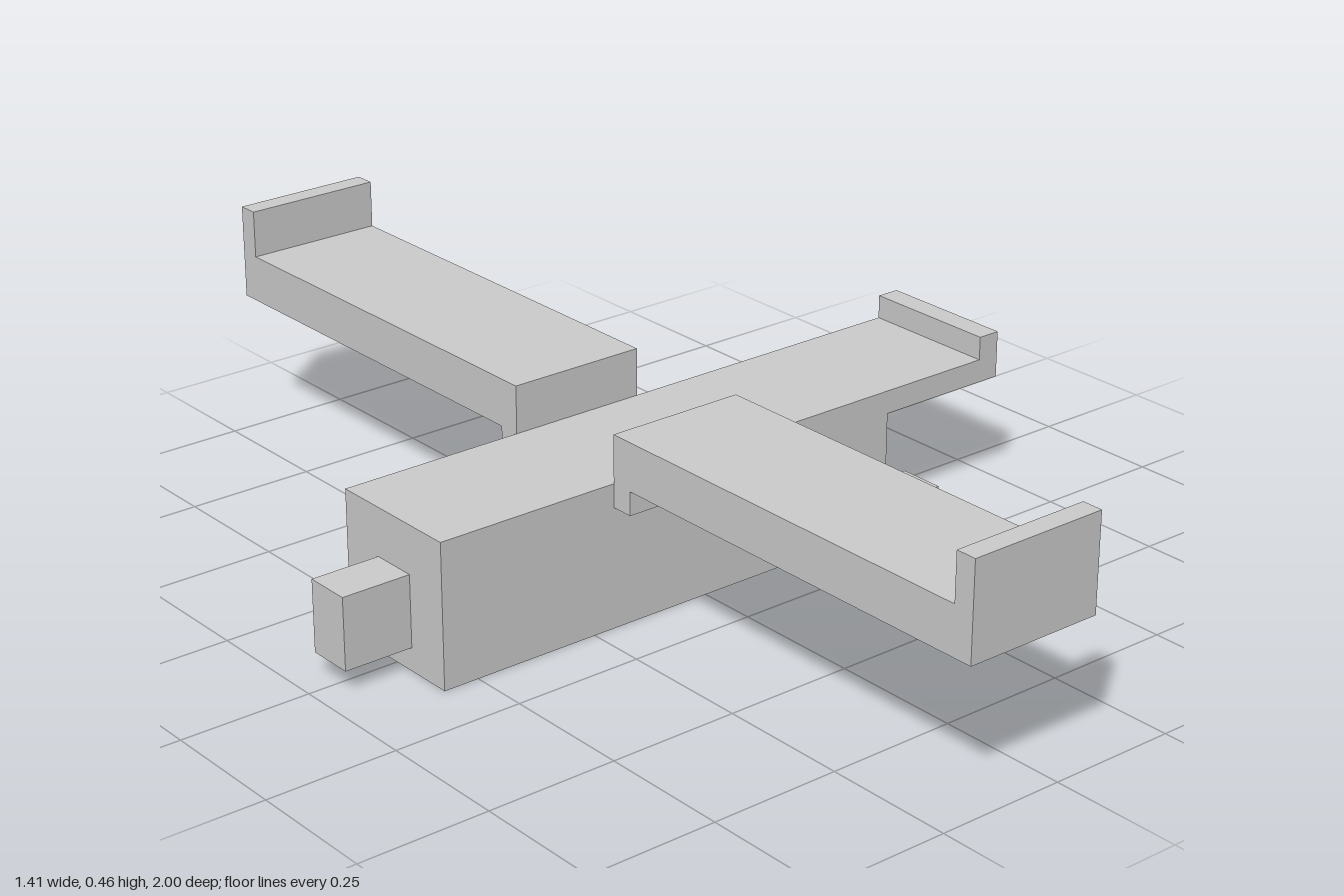
import * as THREE from 'three';

const material = new THREE.MeshStandardMaterial({ color: 0xcccccc, flatShading: true });

// Extrudes an outline, centred on its depth
function extrude(points, depth) {
  const shape = new THREE.Shape(points.map(([x, y]) => new THREE.Vector2(x, y)));
  return new THREE.ExtrudeGeometry(shape, { depth, bevelEnabled: false }).translate(0, 0, -depth / 2);
}

// Box given by its limits on each axis
function box(x0, x1, y0, y1, z0, z1) {
  return new THREE.BoxGeometry(x1 - x0, y1 - y0, z1 - z0)
    .translate((x0 + x1) / 2, (y0 + y1) / 2, (z0 + z1) / 2);
}

export function createModel() {
  const model = new THREE.Group();
  model.name = 'aircraft';
  const add = (name, geometry) => {
    const mesh = new THREE.Mesh(geometry, material);
    mesh.name = name;
    model.add(mesh);
    return mesh;
  };

  // Fuselage with overhanging deck and raised end lip, as one side profile
  add('fuselage', extrude([
    [-0.57, 0], [0.43, 0], [0.43, 0.23], [0.705, 0.23], [0.705, 0.32],
    [0.66, 0.32], [0.66, 0.275], [-0.57, 0.275],
  ], 0.273));

  // Square block on the opposite end
  add('endBlock', box(-0.705, -0.57, 0.045, 0.182, -0.045, 0.045));

  // Wing profile: root bracket, flat panel, upturned tip
  const wing = extrude([
    [0.136, 0.23], [0.18, 0.23], [0.18, 0.275], [1, 0.275], [1, 0.457],
    [0.96, 0.457], [0.96, 0.366], [0.136, 0.366],
  ], 0.272);

  // Mirrored pairs: wings and the low prongs under the deck
  for (const [side, s] of [['front', 1], ['back', -1]]) {
    const mesh = add(side + 'Wing', wing);
    mesh.rotation.y = -s * Math.PI / 2;
    mesh.position.x = -0.07;
    add(side + 'Prong', box(0.43, 0.567, 0, 0.045, s > 0 ? 0.045 : -0.136, s > 0 ? 0.136 : -0.045));
  }

  return model;
}
